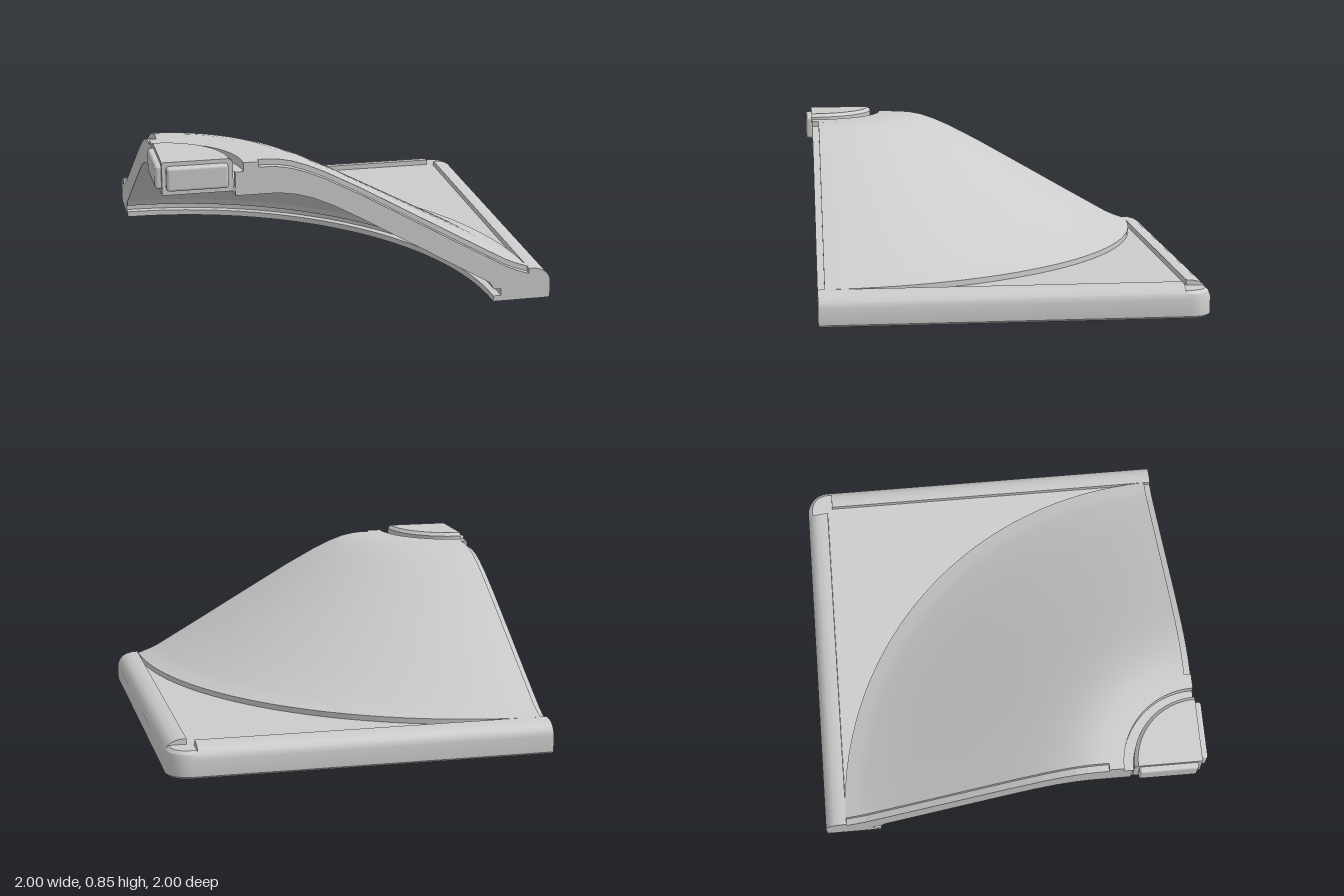
import * as THREE from 'three';
import { toCreasedNormals } from 'three/addons/utils/BufferGeometryUtils.js';
import { RoundedBoxGeometry } from 'three/addons/geometries/RoundedBoxGeometry.js';

const AX = -0.97, AZ = 0.965;   // vertical axis of the quarter dome
const STEP = 0.035;             // width of the rebate along the cut edges
const DROP = 0.028;             // depth of that rebate
const RIM = 0.885;              // inner edge of the rim

// Sloping top of the shell, as radius and height
const SLOPE = [[0.47, 0.825], [0.52, 0.825], [0.575, 0.82], [0.635, 0.808], [0.71, 0.782], [0.8, 0.742],
  [0.97, 0.652], [1.2, 0.52], [1.5, 0.347], [1.74, 0.21], [1.79, 0.188], [1.855, 0.165]];
// Groove around the crown
const LIP = [[0.355, 0.78], [0.395, 0.78], [0.395, 0.825]];
// Underside, from the outer foot to the crown
const UNDER = [[1.82, 0.05], [1.82, 0], [1.67, 0], [1.67, 0.03], [1.71, 0.03], [1.71, 0.066], [1.672, 0.066],
  [1.65, 0.103], [1.3, 0.31], [0.97, 0.503], [0.84, 0.575], [0.74, 0.62], [0.66, 0.645], [0.57, 0.66],
  [0.355, 0.66], [0.355, 0.685], [0.001, 0.685]];
// Crown block, from its top centre to its bottom
const CROWN = [[0.345, 0.69], [0.345, 0.832], [0.326, 0.85], [0.001, 0.85]].reverse();

// Surface from a grid of points given by a rule
function grid(rows, cols, point) {
  const pos = [], index = [];
  for (let i = 0; i < rows; i++) {
    for (let j = 0; j < cols; j++) {
      pos.push(...point(i, j));
      if (i < rows - 1 && j < cols - 1) {
        const a = i * cols + j, b = a + cols;
        index.push(a, b, a + 1, b, b + 1, a + 1);
      }
    }
  }
  const g = new THREE.BufferGeometry();
  g.setAttribute('position', new THREE.Float32BufferAttribute(pos, 3));
  g.setIndex(index);
  return toCreasedNormals(g, 0.5);
}

// Quarter turn of a profile; the third value insets it from the cut planes
function sector(profile, segments = 32) {
  return grid(profile.length, segments + 1, (i, j) => {
    const [r, y, inset = 0] = profile[i];
    const a0 = Math.asin(inset / r);
    const a = a0 + (Math.PI / 2 - 2 * a0) * j / segments;
    return [AX + r * Math.cos(a), y, AZ - r * Math.sin(a)];
  });
}

const polygon = (pts) => new THREE.Shape(pts.map(([x, y]) => new THREE.Vector2(x, y)));

export function createModel() {
  const model = new THREE.Group();
  const material = new THREE.MeshStandardMaterial({ color: 0xcccccc, side: THREE.DoubleSide });
  const add = (name, geometry, x = 0, y = 0, z = 0) => {
    const mesh = new THREE.Mesh(geometry, material);
    mesh.name = name;
    mesh.position.set(x, y, z);
    model.add(mesh);
    return mesh;
  };
  // Place a section, drawn as radius and height, on both cut planes
  const addToCuts = (name, geometry, frontZ, sideX) => {
    add(`front${name}`, geometry, AX, 0, frontZ);
    add(`side${name}`, geometry, sideX, 0, AZ).rotation.y = Math.PI / 2;
  };

  // Dome shell
  add('domeTop', sector([[0.32, 0.78], ...LIP, SLOPE[0], ...SLOPE.map(([r, y]) => [r, y, STEP]), [1.855, 0.13, STEP]]));
  add('domeUnderside', sector(UNDER));

  // Cut edges: stepped rib and the small riser behind it
  const lowered = SLOPE.map(([r, y]) => [r, y - DROP]);
  const rib = polygon([[0, 0.7], [0.355, 0.7], ...LIP, SLOPE[0], ...lowered,
    [1.855, 0], ...UNDER.slice(2, -1), [0, 0.685]]);
  addToCuts('EdgeRib', new THREE.ExtrudeGeometry(rib, { depth: STEP, bevelEnabled: false }), AZ - STEP, AX);
  const riser = polygon([...SLOPE, ...lowered.slice().reverse()]);
  addToCuts('EdgeRiser', new THREE.ShapeGeometry(riser), AZ - STEP, AX + STEP);

  // Flat corner plate around the dome
  const plate = new THREE.Shape();
  plate.moveTo(1.81, 0);
  plate.lineTo(1.86, 0);
  plate.lineTo(1.86, 1.86);
  plate.lineTo(0, 1.86);
  plate.lineTo(0, 1.81);
  plate.absarc(0, 0, 1.81, Math.PI / 2, 0, true);
  const plateGeometry = new THREE.ExtrudeGeometry(plate, { depth: 0.1, bevelEnabled: false, curveSegments: 32 });
  add('cornerPlate', plateGeometry.rotateX(-Math.PI / 2).translate(AX, 0.037, AZ));

  // Rounded rim swept around the two outer sides, cut down flat at the corner
  const rim = [[0, 0], [0, 0.165], [0.035, 0.163], [0.065, 0.155], [0.087, 0.143],
    [0.105, 0.122], [0.115, 0.095], [0.115, 0.01], [0.106, 0], [0, 0]];
  const FLAT = 0.137;
  const stations = [[RIM, AZ, 0, 1], [RIM, -0.858, 0, 1], [RIM, -0.86, 0, FLAT]];
  for (let k = 0; k <= 10; k++) stations.push([RIM, -RIM, k / 10 * Math.PI / 2, FLAT]);
  stations.push([0.852, -RIM, Math.PI / 2, FLAT], [0.85, -RIM, Math.PI / 2, 1], [AX, -RIM, Math.PI / 2, 1]);
  add('rim', grid(rim.length, stations.length, (i, j) => {
    const [x, z, a, top] = stations[j], [d, y] = rim[i];
    return [x + d * Math.cos(a), Math.min(y, top), z - d * Math.sin(a)];
  }));
  const cap = new THREE.ShapeGeometry(polygon(rim.slice(0, -1)));
  add('rimFrontCap', cap, RIM, 0, AZ);
  add('rimSideCap', cap, AX, 0, -RIM).rotation.y = Math.PI / 2;

  // Crown block: chamfered quarter disc with its two flat faces
  add('crownBlock', sector(CROWN));
  addToCuts('CrownFace', new THREE.ShapeGeometry(polygon([...CROWN, [0, 0.69]])), AZ, AX);

  // Joining tabs on the two cut faces of the crown
  add('frontTab', new RoundedBoxGeometry(0.3, 0.12, 0.1, 2, 0.015), -0.8, 0.77, 0.947);
  add('sideTab', new RoundedBoxGeometry(0.1, 0.12, 0.3, 2, 0.015), -0.95, 0.77, 0.795);

  return model;
}
